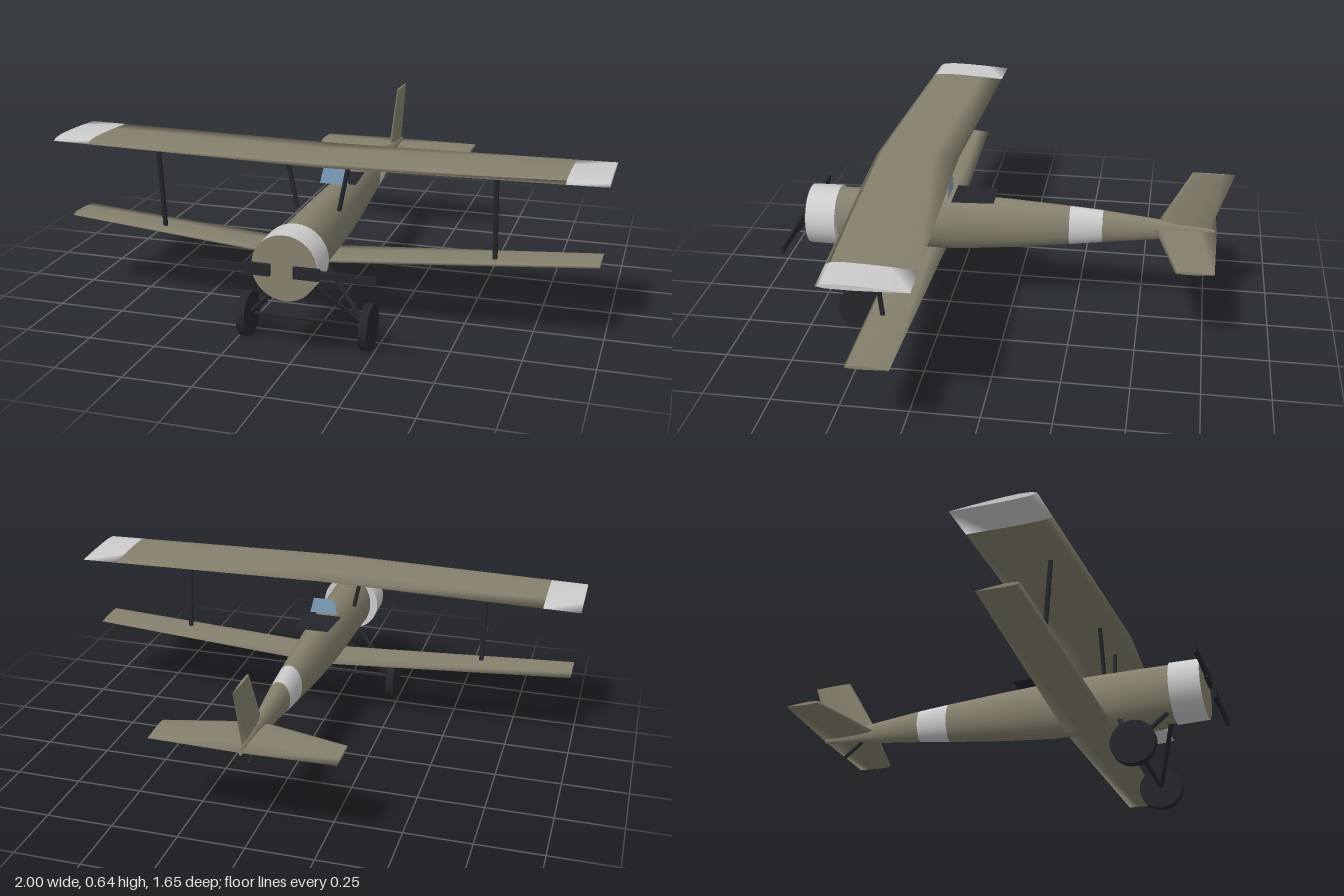
import * as THREE from 'three';

const mat = (color) => new THREE.MeshStandardMaterial({ color, side: THREE.DoubleSide });
const V = (x, y, z) => new THREE.Vector3(x, y, z);

// Skin a list of equal-sized rings (counter-clockwise about the direction of travel), with end caps
function loft(rings) {
  const pos = [], idx = [], n = rings[0].length;
  rings.forEach((r) => r.forEach((p) => pos.push(p.x, p.y, p.z)));
  for (let i = 0; i < rings.length - 1; i++) {
    for (let j = 0; j < n; j++) {
      const a = i * n + j, b = i * n + (j + 1) % n;
      idx.push(a, b, a + n, b, b + n, a + n);
    }
  }
  [rings[0], rings[rings.length - 1]].forEach((r, end) => {
    const base = pos.length / 3;
    const c = r.reduce((s, p) => s.add(p), V(0, 0, 0)).divideScalar(n);
    [...r, c].forEach((p) => pos.push(p.x, p.y, p.z));
    for (let j = 0; j < n; j++) {
      const a = base + j, b = base + (j + 1) % n;
      if (end) idx.push(a, b, base + n); else idx.push(b, a, base + n);
    }
  });
  const g = new THREE.BufferGeometry();
  g.setAttribute('position', new THREE.Float32BufferAttribute(pos, 3));
  g.setIndex(idx);
  g.computeVertexNormals();
  return g;
}

// Chord fraction from the trailing edge, and height in units of thickness
const CAMBERED = [[0, 0], [0.3, 0.35], [0.6, 0.6], [0.8, 0.65], [0.94, 0.45], [1, 0], [0.9, -0.3], [0.6, -0.35], [0.3, -0.2]];
const SYMMETRIC = [[0, 0], [0.3, 0.3], [0.65, 0.5], [0.92, 0.35], [1, 0], [0.92, -0.35], [0.65, -0.5], [0.3, -0.3]];

// Wing panel from stations [x, y, leading z, trailing z, thickness], ordered by x
const panel = (stations, foil) => loft(stations.map(([x, y, lead, trail, t]) =>
  foil.map(([c, h]) => V(x, y + h * t, trail + (lead - trail) * c))));

// Fuselage stations: z, half width, top, bottom
const BODY = [
  [-0.77, 0.006, 0.4, 0.374], [-0.55, 0.025, 0.43, 0.345], [-0.35, 0.042, 0.45, 0.32], [-0.225, 0.049, 0.459, 0.302],
  [0, 0.061, 0.472, 0.272], [0.2, 0.071, 0.48, 0.252], [0.4, 0.077, 0.48, 0.247], [0.67, 0.086, 0.475, 0.246],
];
const bodyPart = (from, to) => loft(BODY.filter(([z]) => z >= from && z <= to).map(([z, w, top, bottom]) =>
  Array.from({ length: 32 }, (_, j) => {
    const a = (j / 32) * Math.PI * 2;
    return V(w * Math.cos(a), (top + bottom) / 2 + ((top - bottom) / 2) * Math.sin(a), z);
  })));

export function createModel() {
  const model = new THREE.Group();
  const olive = mat(0x85806d), pale = mat(0xcccccc), dark = mat(0x24262b), glass = mat(0x7f9fbd);

  const add = (name, geometry, material) => {
    const m = new THREE.Mesh(geometry, material);
    m.name = name;
    model.add(m);
    return m;
  };
  const strut = (name, a, b, r) => {
    const m = add(name, new THREE.CylinderGeometry(r, r, a.distanceTo(b), 10), dark);
    m.position.copy(a).lerp(b, 0.5);
    m.quaternion.setFromUnitVectors(V(0, 1, 0), b.clone().sub(a).normalize());
    return m;
  };

  // Fuselage with pale band
  add('rearFuselage', bodyPart(-0.77, -0.35), olive);
  add('fuselageBand', bodyPart(-0.35, -0.225), pale);
  add('frontFuselage', bodyPart(-0.225, 0.67), olive);

  // Engine cowling with front plate
  const cowl = add('cowling', new THREE.CylinderGeometry(0.115, 0.117, 0.115, 32, 1), pale);
  cowl.rotation.x = Math.PI / 2;
  cowl.position.set(0, 0.36, 0.7275);
  add('cowlingFront', new THREE.CircleGeometry(0.115, 32), olive).position.set(0, 0.36, 0.787);

  // Cockpit opening and windshield
  const opening = new THREE.Shape([new THREE.Vector2(-0.065, -0.06), new THREE.Vector2(0.065, -0.06),
    new THREE.Vector2(0.077, -0.22), new THREE.Vector2(-0.077, -0.22)]);
  const cockpit = add('cockpit', new THREE.ShapeGeometry(opening), dark);
  cockpit.rotation.x = -Math.PI / 2;
  cockpit.position.y = 0.482;
  const pane = new THREE.Shape([new THREE.Vector2(-0.055, 0), new THREE.Vector2(0.055, 0),
    new THREE.Vector2(0.04, 0.062), new THREE.Vector2(-0.04, 0.062)]);
  add('windshield', new THREE.ShapeGeometry(pane), glass).position.set(0, 0.483, 0.235);

  // Upper wing, swept back, with pale tips
  const upper = (x) => {
    const s = Math.abs(x);
    return [x, 0.629, 0.518 - 0.052 * s, 0.203 - 0.038 * s, 0.018];
  };
  add('upperWing', panel([-0.86, 0, 0.86].map(upper), CAMBERED), olive);
  add('upperWingTipRight', panel([-1, -0.86].map(upper), CAMBERED), pale);
  add('upperWingTipLeft', panel([0.86, 1].map(upper), CAMBERED), pale);

  // Lower wing with dihedral
  const lower = (x) => {
    const s = Math.abs(x);
    return [x, 0.254 + 0.071 * s, 0.44 - 0.04 * s, 0.255 - 0.004 * s, 0.012];
  };
  add('lowerWing', panel([-0.98, 0, 0.98].map(lower), CAMBERED), olive);

  // Tailplane and fin
  add('tailplane', panel([[-0.33, 0.39, -0.63, -0.77, 0.012], [0, 0.39, -0.545, -0.778, 0.016],
    [0.33, 0.39, -0.63, -0.77, 0.012]], SYMMETRIC), olive);
  const fin = panel([[0.39, 0, -0.54, -0.748, 0.016], [0.63, 0, -0.672, -0.827, 0.01]], SYMMETRIC);
  add('fin', fin.rotateZ(Math.PI / 2), olive);
  strut('tailSkid', V(0, 0.36, -0.6), V(0, 0.296, -0.683), 0.007);

  for (const s of [1, -1]) {
    // Wing struts
    strut('interplaneStrut', V(s * 0.62, 0.3, 0.36), V(s * 0.62, 0.627, 0.39), 0.009);
    strut('cabaneStrut', V(s * 0.077, 0.45, 0.425), V(s * 0.113, 0.627, 0.425), 0.008);

    // Landing gear
    for (const z of [0.645, 0.468]) strut('gearLeg', V(s * 0.04, 0.265, z), V(s * 0.213, 0.085, 0.557), 0.009);
    const wheel = add('wheel', new THREE.CylinderGeometry(0.082, 0.082, 0.03, 32), dark);
    wheel.rotation.z = Math.PI / 2;
    wheel.position.set(s * 0.222, 0.082, 0.557);

    // Propeller blade with thicker root
    add('propellerBlade', new THREE.BoxGeometry(0.28, 0.028, 0.01), dark).position.set(s * 0.18, 0.36, 0.812);
    add('propellerRoot', new THREE.BoxGeometry(0.09, 0.04, 0.014), dark).position.set(s * 0.085, 0.36, 0.812);
  }
  strut('axle', V(-0.21, 0.085, 0.557), V(0.21, 0.085, 0.557), 0.006);

  return model;
}
